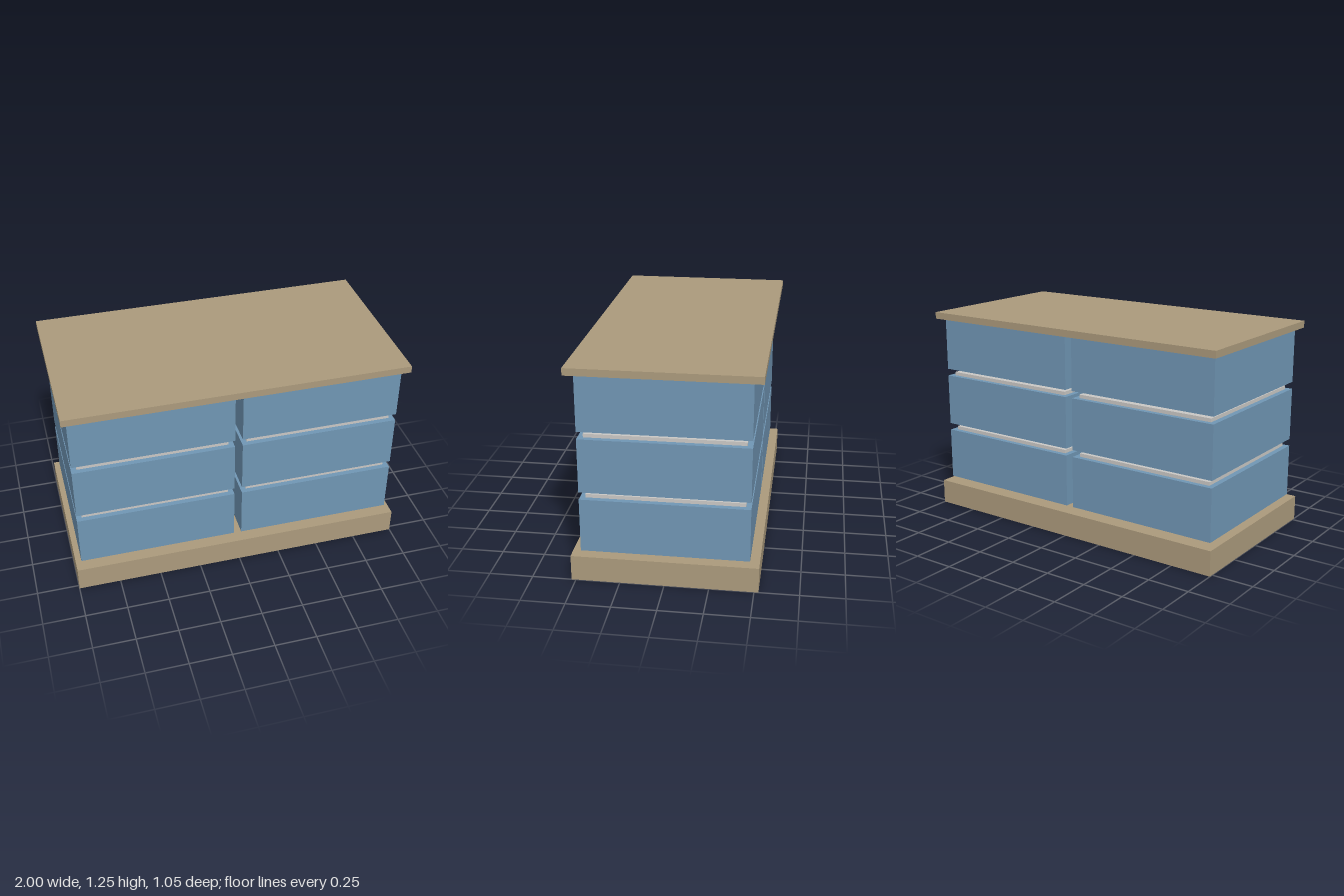
import * as THREE from 'three';

export function createModel() {
  const group = new THREE.Group();
  const material = (name, color) => {
    const m = new THREE.MeshStandardMaterial({ color });
    m.name = name;
    return m;
  };
  const wood = material('tan wood', 0xab9a7c);
  const blue = material('crate blue', 0x7096b4);
  const grey = material('light grey', 0xcac8c5);

  // Adds a box whose underside sits at y = bottom
  const addBox = (name, mat, w, h, d, x, bottom) => {
    const mesh = new THREE.Mesh(new THREE.BoxGeometry(w, h, d), mat);
    mesh.name = name;
    mesh.position.set(x, bottom + h / 2, 0);
    group.add(mesh);
  };

  // Base and top slabs
  addBox('base', wood, 2, 0.149, 1.05, 0, 0);
  addBox('topSlab', wood, 2, 0.041, 1.05, 0, 1.213);

  // Three layers of two crates, each with a shallow inset lid
  const names = ['lower', 'middle', 'upper'];
  names.forEach((level, i) => {
    const y = 0.171 + i * 0.358;
    for (const side of [-1, 1]) {
      const label = level + (side > 0 ? 'Left' : 'Right');
      const x = side * 0.495;
      addBox(label + 'Crate', blue, 0.944, 0.315, 0.945, x, y);
      addBox(label + 'Lid', grey, 0.88, 0.021, 0.884, x, y + 0.315);
    }
  });

  return group;
}
